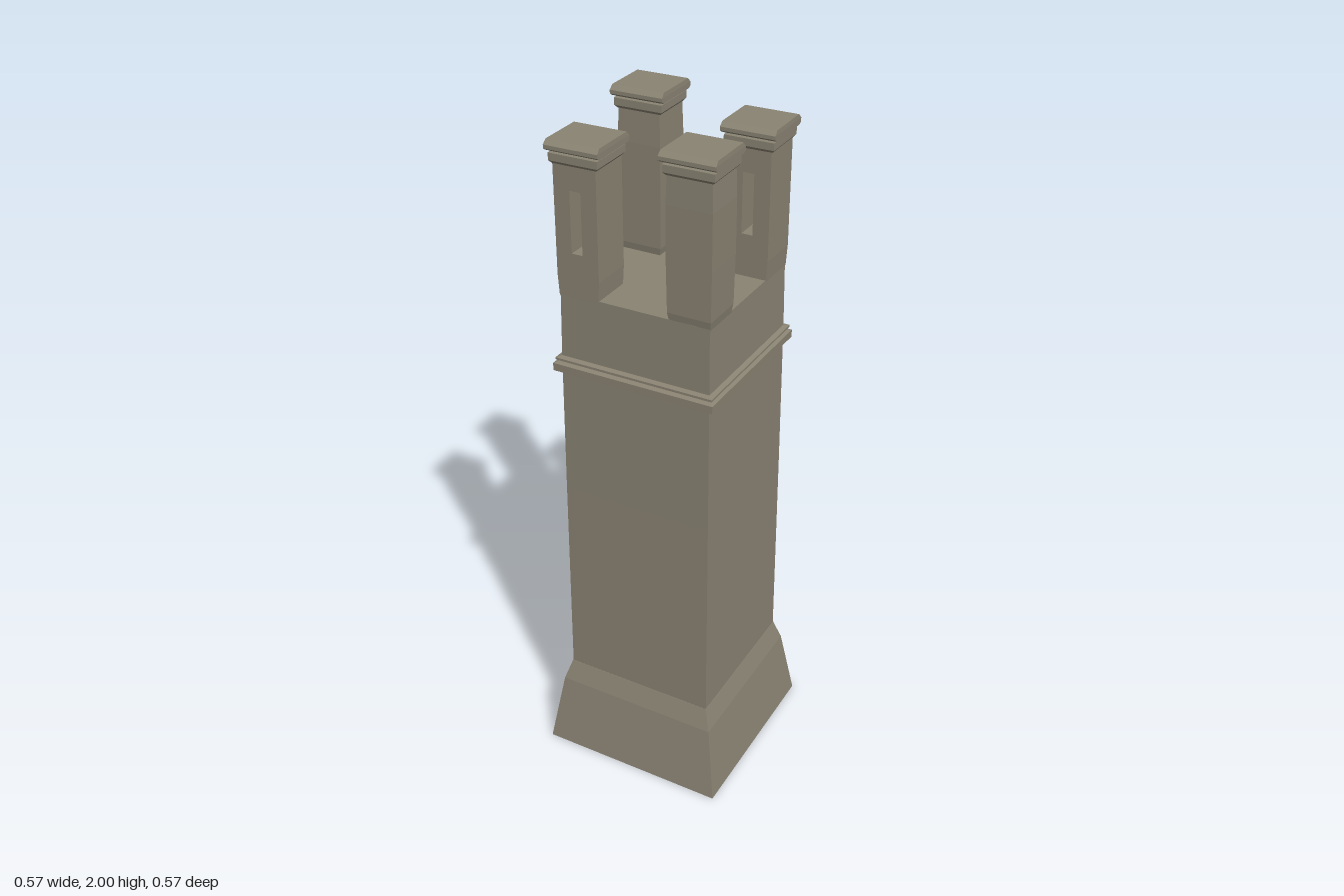
import * as THREE from 'three';

const stone = new THREE.MeshStandardMaterial({ color: 0x8a8373, flatShading: true });

// Closed rectangular stack; each section is [y, halfX, halfZ = halfX], bottom to top
function stack(sections) {
  const rings = sections.map(([y, hx, hz = hx]) => [
    [-hx, y, hz], [hx, y, hz], [hx, y, -hz], [-hx, y, -hz],
  ]);
  const pos = [];
  const quad = (a, b, c, d) => pos.push(...a, ...b, ...c, ...a, ...c, ...d);
  for (let i = 0; i < rings.length - 1; i++) {
    const lo = rings[i], hi = rings[i + 1];
    for (let k = 0; k < 4; k++) {
      const n = (k + 1) % 4;
      quad(lo[k], lo[n], hi[n], hi[k]);
    }
  }
  const first = rings[0], last = rings[rings.length - 1];
  quad(...last);
  quad(first[3], first[2], first[1], first[0]);
  const g = new THREE.BufferGeometry();
  g.setAttribute('position', new THREE.Float32BufferAttribute(pos, 3));
  g.computeVertexNormals();
  return g;
}

function part(parent, name, geometry) {
  const mesh = new THREE.Mesh(geometry, stone);
  mesh.name = name;
  parent.add(mesh);
  return mesh;
}

// Pier pierced front to back by a tall narrow slot
function slottedPier(base, top) {
  const h = 0.0625;
  const shape = new THREE.Shape([
    [-h + 0.004, base], [h - 0.004, base], [h, base + 0.06], [h, top], [-h, top], [-h, base + 0.06],
  ].map(([x, y]) => new THREE.Vector2(x, y)));
  const s = 0.016;
  shape.holes.push(new THREE.Path([
    [-s, 1.66], [-s, 1.83], [s, 1.83], [s, 1.66],
  ].map(([x, y]) => new THREE.Vector2(x, y))));
  const g = new THREE.ExtrudeGeometry(shape, { depth: 2 * h, bevelEnabled: false });
  return g.translate(0, 0, -h);
}

export function createModel() {
  const model = new THREE.Group();
  model.name = 'chimney';

  // Main stack
  part(model, 'plinth', stack([[0, 0.285], [0.225, 0.25], [0.29, 0.23]]));
  part(model, 'shaft', stack([[0.28, 0.229], [0.93, 0.225], [1.32, 0.222]]));
  part(model, 'band', stack([
    [1.308, 0.232], [1.312, 0.24], [1.334, 0.24], [1.338, 0.227],
    [1.343, 0.227], [1.344, 0.235], [1.35, 0.235], [1.354, 0.222],
  ]));
  part(model, 'crown', stack([[1.34, 0.222], [1.54, 0.219]]));

  // Corner piers: side in x, side in z, top height, slotted or solid
  const piers = [
    ['frontLeftPier', 1, 1, 1.987, false],
    ['frontRightPier', -1, 1, 1.957, true],
    ['backLeftPier', 1, -1, 1.957, true],
    ['backRightPier', -1, -1, 2.0, false],
  ];
  for (const [name, sx, sz, top, slotted] of piers) {
    const pier = new THREE.Group();
    pier.name = name;
    pier.position.set(sx * 0.161, 0, sz * 0.16);
    model.add(pier);

    const neck = top - 0.04;
    part(pier, 'pierShaft', slotted
      ? slottedPier(1.535, neck)
      : stack([[1.535, 0.058], [1.56, 0.062], [1.7, 0.064], [1.85, 0.064], [neck, 0.061]]));

    // Moulded cap, its slab bevelled on the front and back
    const cap = part(pier, 'cap', stack([
      [top - 0.062, 0.063], [top - 0.054, 0.07], [top - 0.034, 0.07], [top - 0.03, 0.066],
      [top - 0.028, 0.077, 0.07], [top - 0.022, 0.077, 0.079],
      [top - 0.012, 0.077, 0.079], [top, 0.076, 0.067],
    ]));
    cap.rotation.y = 0.015;
  }
  return model;
}
